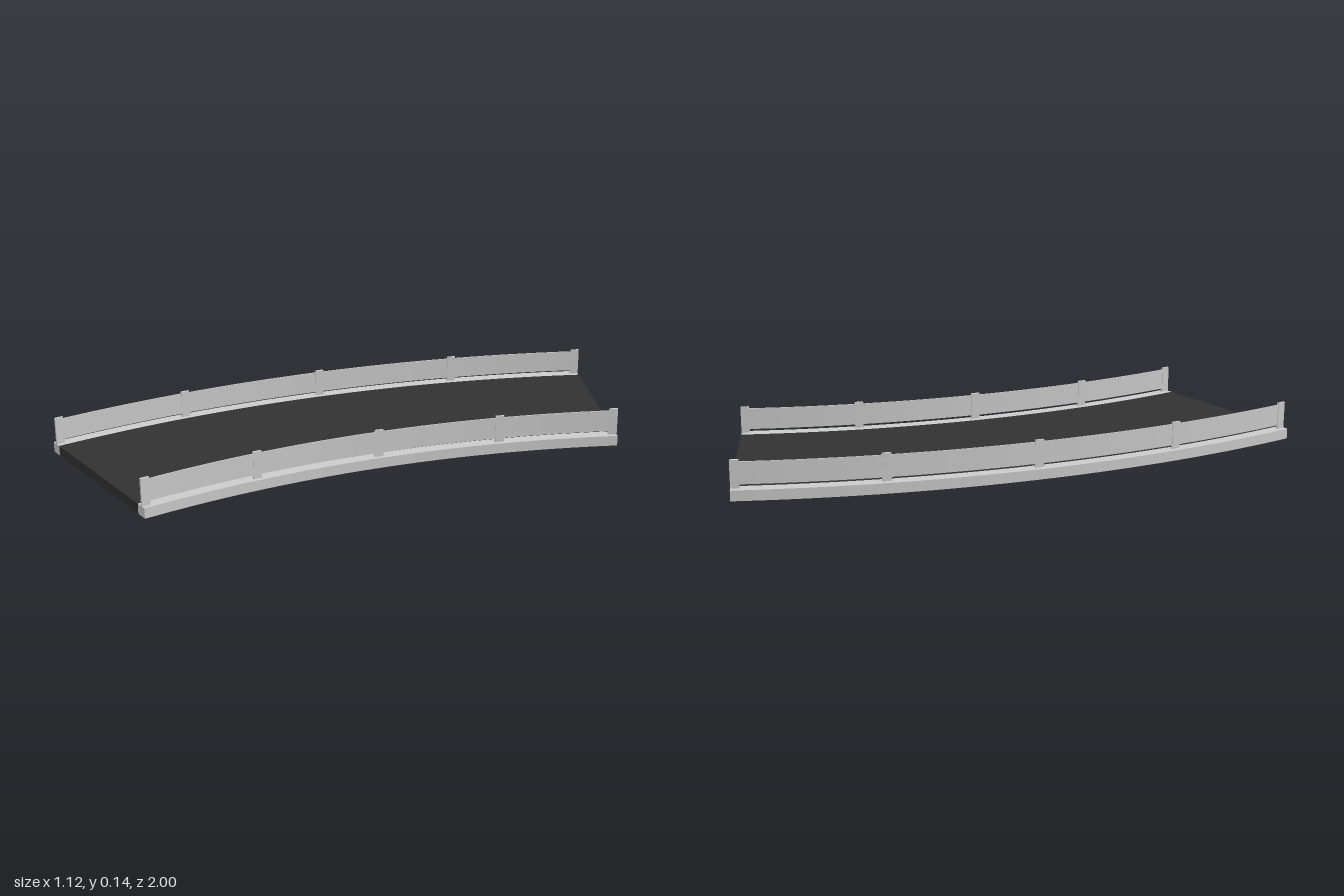
import * as THREE from 'three';
import { toCreasedNormals } from 'three/addons/utils/BufferGeometryUtils.js';

// The bend turns 30 degrees about a centre on the model's +x side.
const CX = 3.435, CZ = 1;
const rad = THREE.MathUtils.degToRad;
const KERB_TOP = 0.037;

// Solid band between two radii, two heights and two angles (degrees).
function arcBand(r0, r1, y0, y1, a0 = 0, a1 = 30) {
  const shape = new THREE.Shape();
  shape.absarc(CX, -CZ, r1, Math.PI - rad(a0), Math.PI - rad(a1), true);
  shape.absarc(CX, -CZ, r0, Math.PI - rad(a1), Math.PI - rad(a0), false);
  const geo = new THREE.ExtrudeGeometry(shape, { depth: y1 - y0, bevelEnabled: false, curveSegments: 32 });
  geo.rotateX(-Math.PI / 2);
  geo.translate(0, y0, 0);
  return toCreasedNormals(geo, 0.5);
}

export function createModel() {
  const model = new THREE.Group();
  model.name = 'curvedRoad';
  const grey = new THREE.MeshStandardMaterial({ color: 0xcccccc });
  const asphalt = new THREE.MeshStandardMaterial({ color: 0x323232 });

  const add = (parent, name, geo, mat) => {
    const mesh = new THREE.Mesh(geo, mat);
    mesh.name = name;
    parent.add(mesh);
    return mesh;
  };

  // Road slab
  add(model, 'roadSurface', arcBand(3.365, 3.955, 0, KERB_TOP), asphalt);

  // Kerb, guard rail and posts along each edge
  const sides = [
    { name: 'outer', kerb: [3.955, 4], rail: 3.976 },
    { name: 'inner', kerb: [3.32, 3.365], rail: 3.339 },
  ];
  const postGeo = new THREE.BoxGeometry(0.008, 0.135 - KERB_TOP, 0.031);
  for (const { name, kerb, rail } of sides) {
    const side = new THREE.Group();
    side.name = name + 'Edge';
    model.add(side);
    add(side, name + 'Kerb', arcBand(kerb[0], kerb[1], 0, KERB_TOP), grey);
    add(side, name + 'Rail', arcBand(rail - 0.002, rail + 0.002, 0.05, 0.128, 0.2, 29.8), grey);

    // End posts sit flush with the ends of the road
    const inset = THREE.MathUtils.radToDeg(0.0155 / rail);
    [inset, 7.25, 14.95, 22.6, 30 - inset].forEach((deg, i) => {
      const a = rad(deg);
      const post = add(side, `${name}Post${i + 1}`, postGeo, grey);
      post.position.set(CX - rail * Math.cos(a), (0.135 + KERB_TOP) / 2, CZ - rail * Math.sin(a));
      post.rotation.y = -a;
    });
  }
  return model;
}
